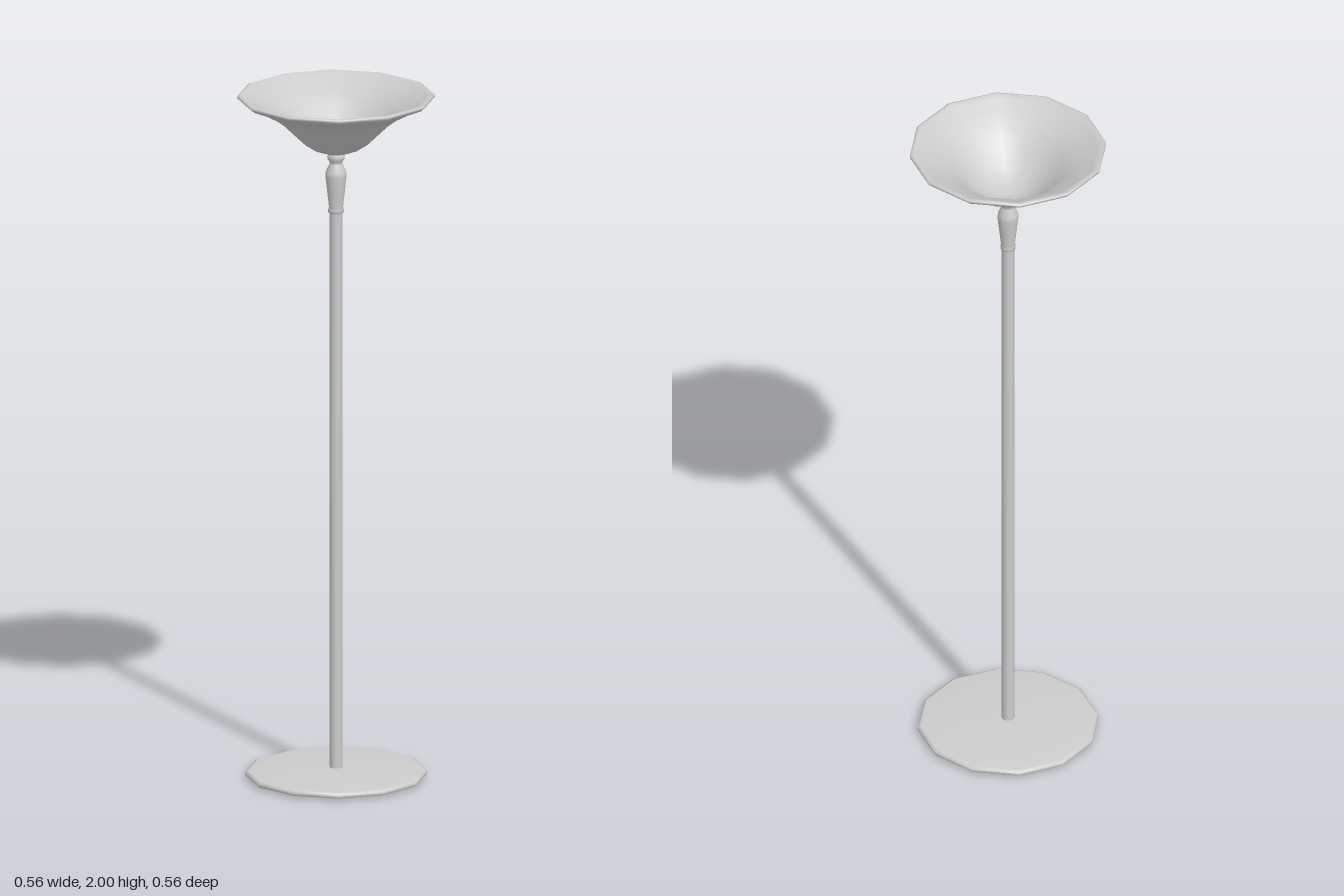
import * as THREE from 'three';

const SIDES = 12;

export function createModel() {
  const lamp = new THREE.Group();
  lamp.name = 'floorLamp';
  const material = new THREE.MeshStandardMaterial({ color: 0xcccccc });

  // Turns a profile of [radius, height] points, listed from bottom to top on the outside
  const turned = (name, profile, sides = SIDES) => {
    const points = profile.map(([r, y]) => new THREE.Vector2(r, y));
    const mesh = new THREE.Mesh(new THREE.LatheGeometry(points, sides), material);
    mesh.name = name;
    lamp.add(mesh);
  };

  // Base: flat underside, upright edge and a gently sloping top
  turned('baseUnderside', [[0, 0.005], [0.255, 0.005]]);
  turned('baseEdge', [[0.255, 0.005], [0.258, 0.008], [0.258, 0.016], [0.25, 0.02]]);
  turned('baseTop', [[0.25, 0.02], [0.17, 0.028], [0, 0.029]]);

  // Pole, its foot showing through the underside of the base
  const pole = new THREE.Mesh(new THREE.CylinderGeometry(0.018, 0.018, 1.66, SIDES), material);
  pole.name = 'pole';
  pole.position.y = 0.83;
  lamp.add(pole);

  // Vase-shaped neck with a collar below and a bead above
  turned('neck', [
    [0.017, 1.652], [0.022, 1.655], [0.022, 1.664], [0.02, 1.67], [0.025, 1.715],
    [0.03, 1.76], [0.029, 1.775], [0.019, 1.797], [0.018, 1.803], [0.024, 1.81],
    [0.025, 1.82], [0.02, 1.83], [0.012, 1.836],
  ]);

  // Flared bowl shade: outside, rolled rim, then inside
  turned('shade', [
    [0, 1.826], [0.03, 1.829], [0.065, 1.841], [0.1, 1.864], [0.135, 1.897],
    [0.165, 1.926], [0.195, 1.948], [0.23, 1.967], [0.273, 1.985],
    [0.28, 1.991], [0.28, 1.997], [0.272, 2], [0.257, 1.992],
    [0.225, 1.975], [0.19, 1.955], [0.16, 1.932], [0.13, 1.903],
    [0.095, 1.871], [0.06, 1.849], [0.03, 1.838], [0, 1.835],
  ]);

  return lamp;
}
